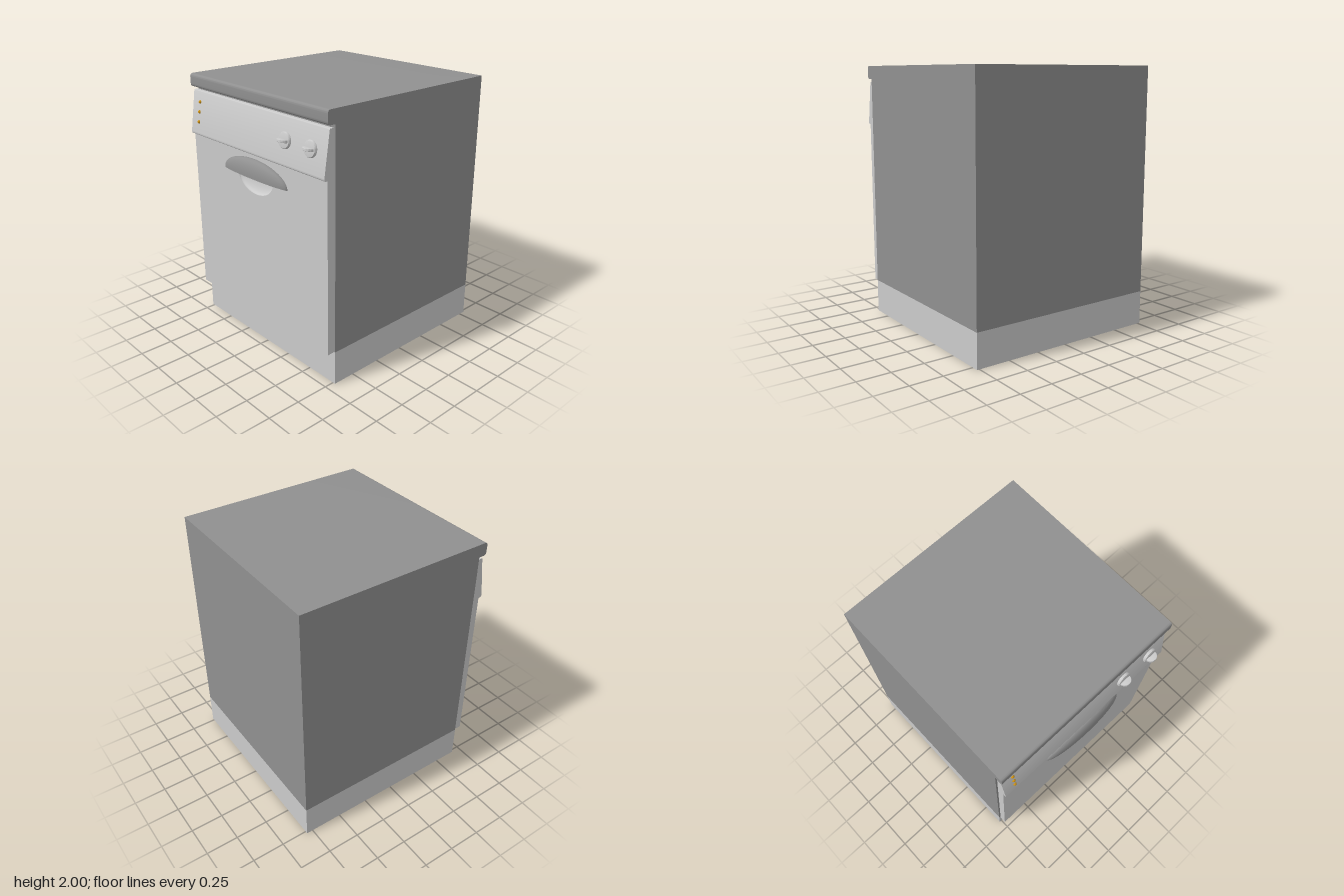
import * as THREE from 'three';
import { toCreasedNormals } from 'three/addons/utils/BufferGeometryUtils.js';
import { ParametricGeometry } from 'three/addons/geometries/ParametricGeometry.js';

const light = new THREE.MeshStandardMaterial({ color: 0xcccccc });
const lightBowl = new THREE.MeshStandardMaterial({ color: 0xcccccc, side: THREE.DoubleSide });
const dark = new THREE.MeshStandardMaterial({ color: 0x909090 });
const darkShell = new THREE.MeshStandardMaterial({ color: 0x909090, side: THREE.DoubleSide });
const amber = new THREE.MeshStandardMaterial({ color: 0xcc9010 });

function part(parent, name, geometry, material, x = 0, y = 0, z = 0) {
  const mesh = new THREE.Mesh(geometry, material);
  mesh.name = name;
  mesh.position.set(x, y, z);
  parent.add(mesh);
  return mesh;
}

// Side profile of [z, y, cornerRadius] points, swept across the width
function sweepProfile(points, width) {
  const shape = new THREE.Shape();
  const n = points.length;
  points.forEach(([z, y, r = 0], i) => {
    const corner = new THREE.Vector2(z, y);
    const toward = ([a, b]) => new THREE.Vector2(a, b).sub(corner).setLength(r).add(corner);
    const start = toward(points[(i + n - 1) % n]);
    const end = toward(points[(i + 1) % n]);
    if (i === 0) shape.moveTo(start.x, start.y);
    else shape.lineTo(start.x, start.y);
    if (r > 0) shape.quadraticCurveTo(z, y, end.x, end.y);
  });
  shape.closePath();
  const g = new THREE.ExtrudeGeometry(shape, { depth: width, bevelEnabled: false, curveSegments: 8 });
  g.rotateY(-Math.PI / 2).translate(width / 2, 0, 0);
  return toCreasedNormals(g, 0.6);
}

export function createModel() {
  const model = new THREE.Group();
  model.name = 'dishwasher';

  // Plinth and cabinet with an overhanging, rounded worktop lip
  part(model, 'plinth', new THREE.BoxGeometry(1.54, 0.26, 1.475), light, 0, 0.13, -0.0625);
  part(model, 'cabinet', sweepProfile([
    [-0.8, 0.26], [0.675, 0.26], [0.675, 1.9], [0.738, 1.9, 0.025], [0.738, 2, 0.025], [-0.8, 2],
  ], 1.54), dark);

  // Door with an elliptical finger recess
  const doorShape = new THREE.Shape();
  doorShape.moveTo(-0.762, 0.26).lineTo(0.762, 0.26).lineTo(0.762, 1.54).lineTo(-0.762, 1.54).closePath();
  const hole = new THREE.Path();
  hole.absellipse(0, 1.37, 0.2, 0.13, 0, Math.PI * 2, true);
  doorShape.holes.push(hole);
  const doorGeometry = new THREE.ExtrudeGeometry(doorShape, { depth: 0.052, bevelEnabled: false, curveSegments: 24 });
  part(model, 'door', doorGeometry, light, 0, 0, 0.683);
  const bowl = new THREE.SphereGeometry(1, 48, 12, 0, Math.PI * 2, 0, Math.PI / 2);
  bowl.rotateX(-Math.PI / 2).scale(0.2, 0.13, 0.045);
  part(model, 'fingerRecess', bowl, lightBowl, 0, 1.37, 0.735);

  // Hooded handle: hollow quarter ellipsoid, outer wall and inner wall joined by a rim
  const hood = new ParametricGeometry((u, v, target) => {
    const across = Math.PI * u;
    const outer = v < 0.5;
    const turn = (outer ? v / 0.48 : (1 - v) / 0.48) * Math.PI / 2;
    const a = Math.min(turn, Math.PI / 2);
    const k = outer ? 1 : 0.88;
    const r = Math.sin(across) * k;
    target.set(
      -0.36 * k * Math.cos(across),
      1.365 + 0.14 * r * Math.cos(a) + 0.018 * r * Math.sin(a),
      0.735 + 0.065 * r * Math.sin(a),
    );
  }, 48, 25);
  part(model, 'handle', toCreasedNormals(hood, 0.8), darkShell);

  // Sloping control panel with a rounded lower edge
  part(model, 'controlPanel', sweepProfile([
    [0.683, 1.54], [0.765, 1.54, 0.022], [0.715, 1.877, 0.006], [0.683, 1.877],
  ], 1.524), light);
  const slope = Math.atan2(0.05, 0.337);
  const panelZ = (y) => 0.715 + (1.877 - y) * Math.tan(slope);

  // Knobs: rounded disc with a half-round grip
  const discProfile = [[0, 0], [0.058, 0], [0.058, 0.012], [0.054, 0.018], [0.046, 0.02], [0, 0.02]]
    .map(([r, h]) => new THREE.Vector2(r, h));
  const disc = toCreasedNormals(new THREE.LatheGeometry(discProfile, 40).rotateX(Math.PI / 2), 0.7);
  const gripShape = new THREE.Shape();
  gripShape.absarc(0, 0, 0.045, 0, Math.PI, false);
  const grip = new THREE.ExtrudeGeometry(gripShape, {
    depth: 0.012, bevelThickness: 0.004, bevelSize: 0.004, bevelOffset: -0.004, bevelSegments: 3, curveSegments: 16,
  });
  grip.translate(0, 0, -0.006).rotateX(Math.PI / 2);
  for (const x of [0.355, 0.612]) {
    const knob = new THREE.Group();
    knob.name = 'knob';
    part(knob, 'knobDisc', disc, light);
    part(knob, 'knobGrip', toCreasedNormals(grip, 0.6), light, 0, 0, 0.018);
    knob.position.set(x, 1.72, panelZ(1.72));
    knob.rotation.x = -slope;
    model.add(knob);
  }

  // Indicator lights
  const bulb = new THREE.SphereGeometry(0.013, 20, 12);
  for (const y of [1.795, 1.72, 1.645]) part(model, 'indicatorLight', bulb, amber, -0.67, y, panelZ(y));

  return model;
}
